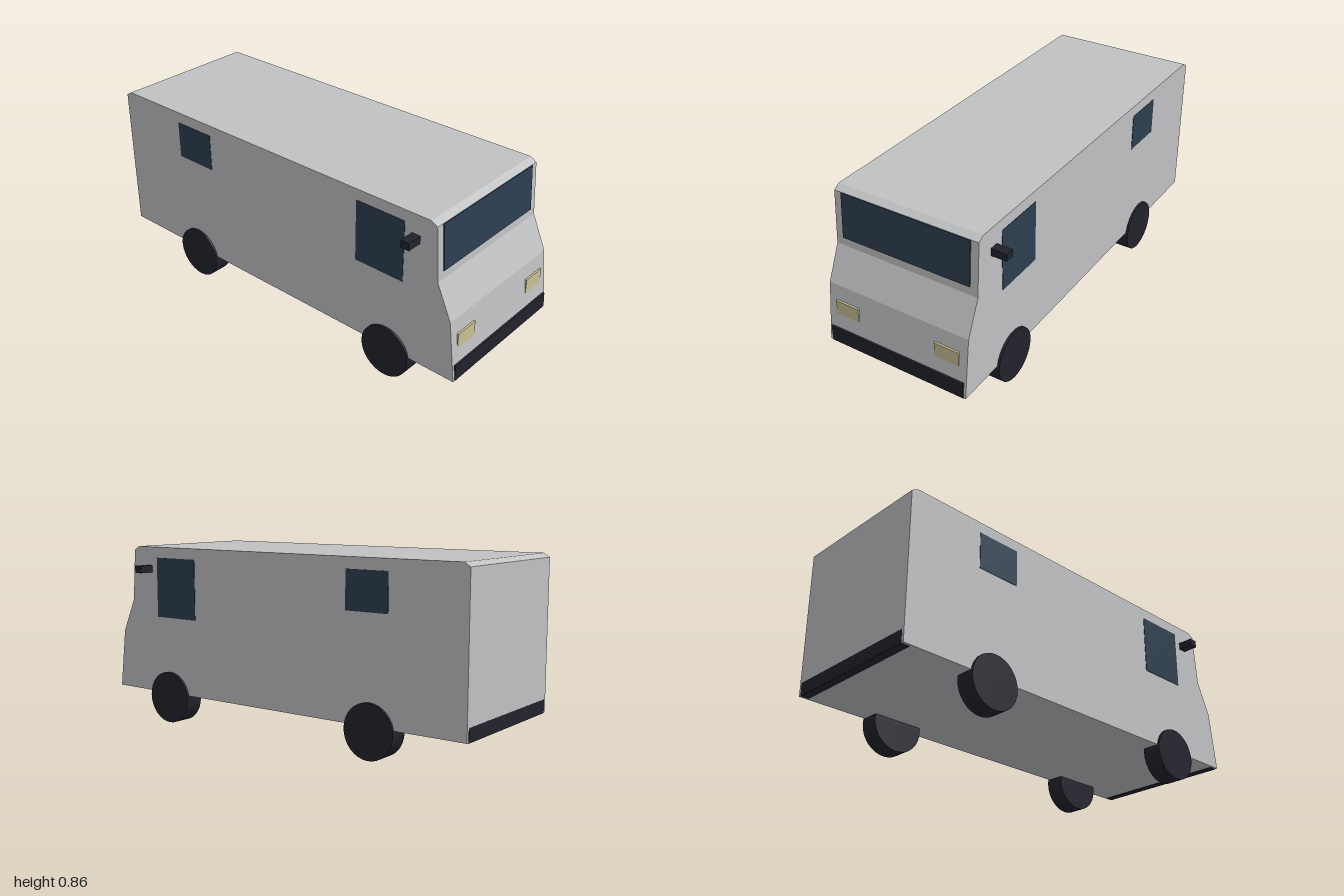
import * as THREE from 'three';

const mat = (name, color) => {
  const m = new THREE.MeshStandardMaterial({ color });
  m.name = name;
  return m;
};

export function createModel() {
  const paint = mat('silver paint', 0xc0c1c3);
  const glass = mat('dark blue glass', 0x2c3e50);
  const rubber = mat('black rubber', 0x22222d);
  const lamp = mat('pale yellow lamp', 0xc9c095);

  const van = new THREE.Group();
  van.name = 'van';

  const add = (name, geometry, material, x, y, z) => {
    const mesh = new THREE.Mesh(geometry, material);
    mesh.name = name;
    mesh.position.set(x, y, z);
    van.add(mesh);
    return mesh;
  };
  // Box given by its limits on each axis
  const box = (name, material, [x0, x1], [y0, y1], [z0, z1]) =>
    add(name, new THREE.BoxGeometry(x1 - x0, y1 - y0, z1 - z0), material,
      (x0 + x1) / 2, (y0 + y1) / 2, (z0 + z1) / 2);

  // Body: side profile (z, y) extruded across the width
  const half = 0.357;
  const profile = [
    [1, 0.145], [0.965, 0.43], [0.893, 0.59], [0.875, 0.84], [0.845, 0.858],
    [-0.97, 0.858], [-1, 0.84], [-1, 0.145],
  ].map(([z, y]) => new THREE.Vector2(z, y));
  const body = new THREE.ExtrudeGeometry(new THREE.Shape(profile), { depth: half * 2, bevelEnabled: false });
  body.translate(0, 0, -half).rotateY(-Math.PI / 2);
  add('body', body, paint, 0, 0, 0);

  // Windscreen, lying on the upper slope of the nose
  const slope = Math.atan2(0.018, 0.25);
  const windscreen = add('windscreen', new THREE.BoxGeometry(0.64, 0.212, 0.008), glass, 0, 0.734, 0.8835);
  windscreen.rotation.x = -slope;

  // Bumpers
  box('frontBumper', rubber, [-0.345, 0.345], [0.143, 0.22], [0.96, 1]);
  box('rearBumper', rubber, [-0.345, 0.345], [0.143, 0.205], [-1.001, -0.96]);

  for (const side of [1, -1]) {
    const label = side > 0 ? 'left' : 'right';
    const across = (a, b) => (side > 0 ? [a, b] : [-b, -a]);

    // Side windows
    box(`${label}CabWindow`, glass, across(0.352, 0.359), [0.517, 0.806], [0.469, 0.72]);
    box(`${label}RearWindow`, glass, across(0.352, 0.359), [0.63, 0.806], [-0.625, -0.41]);

    // Headlight and door mirror
    box(`${label}Headlight`, lamp, across(0.197, 0.317), [0.288, 0.358], [0.955, 0.983]);
    box(`${label}Mirror`, rubber, across(0.35, 0.43), [0.733, 0.768], [0.755, 0.797]);

    // Wheels
    for (const [end, z] of [['Front', 0.645], ['Rear', -0.535]]) {
      const wheel = new THREE.CylinderGeometry(0.125, 0.125, 0.092, 32).rotateZ(Math.PI / 2);
      add(`${label}${end}Wheel`, wheel, rubber, side * 0.322, 0.125, z);
    }
  }
  return van;
}
